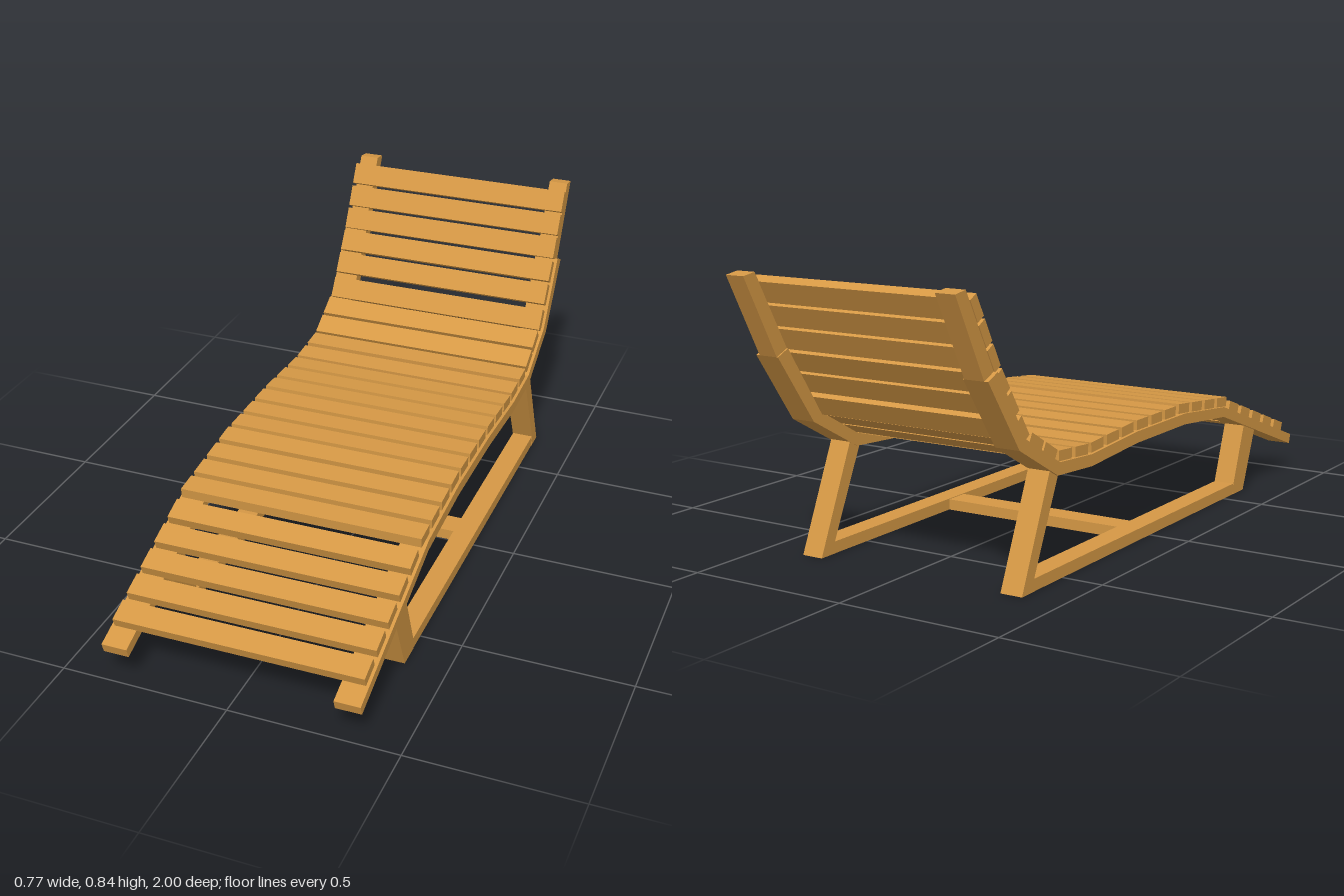
import * as THREE from 'three';

const wood = new THREE.MeshStandardMaterial({ color: 0xd59845 });
wood.name = 'warm wood';

// Side profiles as [z, y], running from the foot end to the head end
const railTop = [[1, 0.12], [0.47, 0.307], [0.2, 0.334], [-0.1, 0.334], [-0.36, 0.318],
  [-0.53, 0.33], [-0.70, 0.425], [-0.83, 0.622], [-0.95, 0.842]];
const railBottom = [[0.99, 0.09], [0.47, 0.275], [0.2, 0.3], [-0.1, 0.3], [-0.36, 0.284],
  [-0.54, 0.295], [-0.73, 0.4], [-0.873, 0.603], [-0.995, 0.835]];

// Extrudes a [z, y] outline across x, from x0 to x1
function sidePlate(name, outline, x0, x1) {
  const shape = new THREE.Shape(outline.map(([z, y]) => new THREE.Vector2(-z, y)));
  const geometry = new THREE.ExtrudeGeometry(shape, { depth: x1 - x0, bevelEnabled: false });
  geometry.rotateY(Math.PI / 2);
  geometry.translate(x0, 0, 0);
  const mesh = new THREE.Mesh(geometry, wood);
  mesh.name = name;
  return mesh;
}

function box(name, w, h, d, x, y, z) {
  const mesh = new THREE.Mesh(new THREE.BoxGeometry(w, h, d), wood);
  mesh.name = name;
  mesh.position.set(x, y, z);
  return mesh;
}

// Height and tilt of the rail's upper surface at a given z
function railAt(z) {
  let i = 0;
  while (i < railTop.length - 2 && z < railTop[i + 1][0]) i++;
  const [z0, y0] = railTop[i], [z1, y1] = railTop[i + 1];
  return { y: y0 + (y1 - y0) * (z - z0) / (z1 - z0), tilt: Math.atan2(y1 - y0, z0 - z1) };
}

export function createModel() {
  const lounger = new THREE.Group();
  lounger.name = 'sunLounger';

  // Curved side rails and the leg frame on each side
  const strip = (a, b) => [...railBottom.slice(a, b), ...railTop.slice(a, b).reverse()];
  for (const [side, s] of [['left', 1], ['right', -1]]) {
    const plate = (name, outline, inner, outer) => lounger.add(
      sidePlate(side + name, outline, Math.min(s * inner, s * outer), Math.max(s * inner, s * outer)));
    plate('SeatRail', strip(0, 8), 0.302, 0.378);
    plate('BackrestRail', strip(7, 9), 0.306, 0.366);
    plate('FrontLeg', [[0.638, 0], [0.565, 0], [0.565, 0.03], [0.635, 0.216], [0.718, 0.19]], 0.303, 0.371);
    plate('BackLeg', [[-0.645, 0], [-0.71, 0], [-0.572, 0.313], [-0.528, 0.296], [-0.65, 0.035]], 0.303, 0.371);
    lounger.add(box(side + 'FloorRunner', 0.066, 0.035, 1.22, s * 0.337, 0.0175, -0.04));
  }
  lounger.add(box('crossBar', 0.62, 0.033, 0.08, 0, 0.0165, -0.04));

  // Slats laid on the rails: evenly along the seat, then up the backrest
  const slatZ = [];
  for (let i = 0; i < 17; i++) slatZ.push(0.905 - i * 0.0871);
  slatZ.push(-0.572, -0.64, -0.712, -0.76, -0.803, -0.845, -0.882, -0.919);
  for (const z of slatZ) {
    const { y, tilt } = railAt(z);
    const lift = 0.0145;
    const slat = box('slat', 0.738, 0.03, 0.068, 0, y + lift * Math.cos(tilt), z + lift * Math.sin(tilt));
    slat.rotation.x = tilt;
    lounger.add(slat);
  }

  // Slight turn of the whole lounger
  lounger.rotation.y = 0.008;
  const model = new THREE.Group();
  model.add(lounger);
  return model;
}
